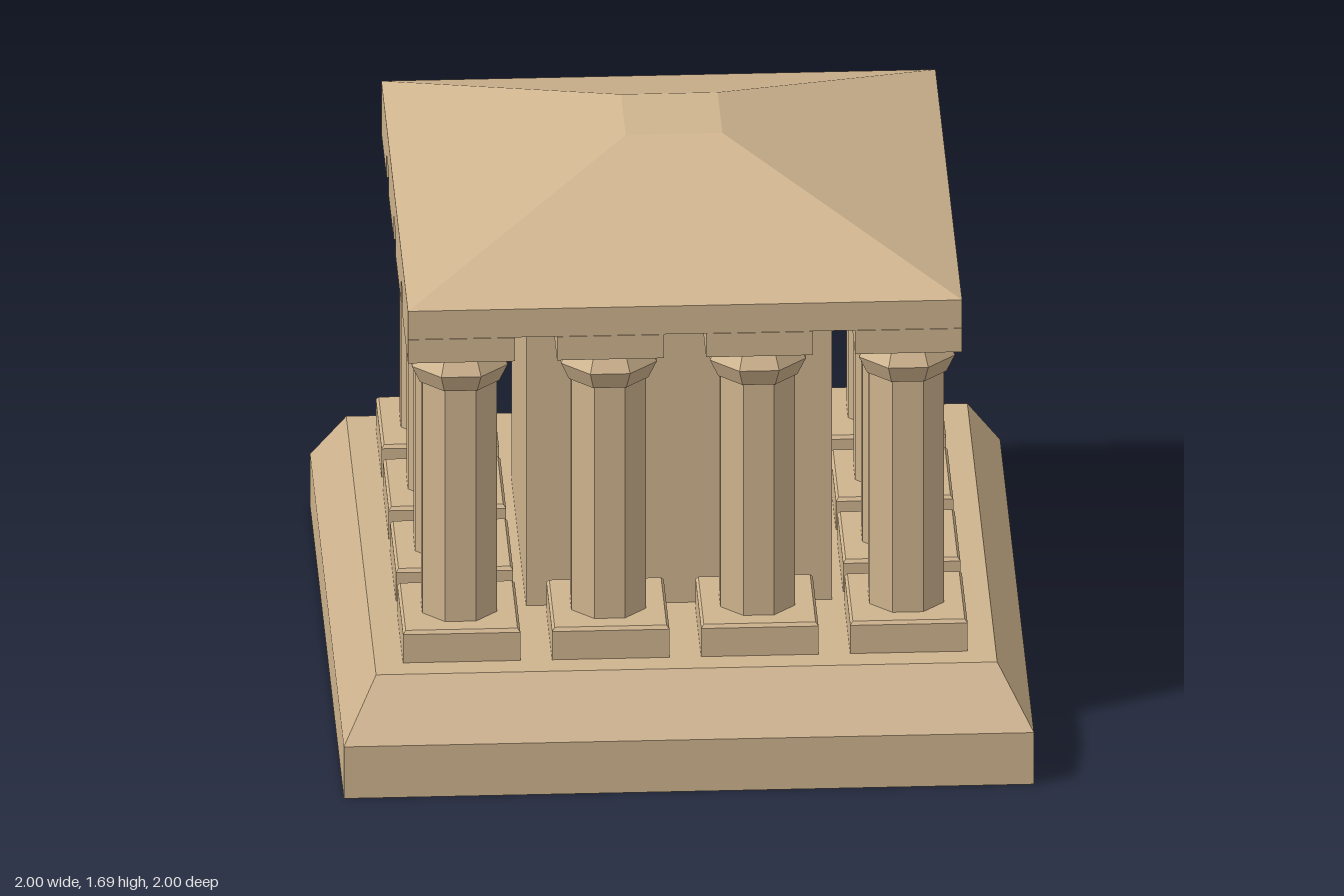
import * as THREE from 'three';

const stone = new THREE.MeshStandardMaterial({ color: 0xcfb48e });
stone.name = 'sandstone';

function add(parent, name, geometry, x = 0, y = 0, z = 0) {
  const mesh = new THREE.Mesh(geometry, stone);
  mesh.name = name;
  mesh.position.set(x, y, z);
  parent.add(mesh);
  return mesh;
}

// Block between y0 and y1 whose top rectangle differs from its bottom one.
// Rectangles are [xMin, xMax, zMin, zMax].
function taperedBlock(bottom, top, y0, y1) {
  const g = new THREE.BoxGeometry(1, 1, 1).toNonIndexed();
  const p = g.attributes.position;
  for (let i = 0; i < p.count; i++) {
    const isTop = p.getY(i) > 0;
    const r = isTop ? top : bottom;
    p.setXYZ(i, p.getX(i) < 0 ? r[0] : r[1], isTop ? y1 : y0, p.getZ(i) < 0 ? r[2] : r[3]);
  }
  g.computeVertexNormals();
  return g;
}

const square = (h) => [-h, h, -h, h];

// Flat-sided octagonal drum with a face turned to the front; sizes are half-widths across flats
function drum(bottom, top, y0, y1, open = false) {
  const k = 1 / Math.cos(Math.PI / 8);
  const g = new THREE.CylinderGeometry(top * k, bottom * k, y1 - y0, 8, 1, open);
  g.rotateY(Math.PI / 8).translate(0, (y0 + y1) / 2, 0);
  const flat = g.toNonIndexed();
  flat.computeVertexNormals();
  return flat;
}

// Geometries shared by every column
const pedestal = taperedBlock(square(0.17), square(0.17), 0.33, 0.42);
const pedestalRim = taperedBlock(square(0.17), square(0.162), 0.42, 0.43);
const shaft = drum(0.108, 0.108, 0.43, 1.17);
const capitalLower = drum(0.115, 0.139, 1.17, 1.225);
const capitalUpper = drum(0.139, 0.108, 1.225, 1.28);
const abacus = taperedBlock(square(0.155), square(0.155), 1.28, 1.355);

function column(x, z) {
  const group = new THREE.Group();
  group.name = 'column';
  add(group, 'pedestal', pedestal);
  add(group, 'pedestalRim', pedestalRim);
  add(group, 'shaft', shaft);
  add(group, 'capitalLower', capitalLower);
  add(group, 'capitalUpper', capitalUpper);
  add(group, 'abacus', abacus);
  group.position.set(x, 0, z);
  return group;
}

export function createModel() {
  const model = new THREE.Group();
  model.name = 'temple';

  // Stepped base with sloped shoulders
  const ground = square(1);
  add(model, 'basePlinth', taperedBlock(ground, ground, 0, 0.165));
  add(model, 'baseSlope', taperedBlock(ground, [-0.9, 0.9, -0.9, 0.865], 0.165, 0.33));

  // Solid inner chamber
  const chamber = [-0.443, 0.443, -0.445, 0.415];
  add(model, 'innerChamber', taperedBlock(chamber, chamber, 0.33, 1.355));

  // Ring of twelve columns, four along each side
  for (let i = 0; i < 4; i++) {
    for (let j = 0; j < 4; j++) {
      const onEdge = i === 0 || i === 3 || j === 0 || j === 3;
      if (onEdge) model.add(column((i - 1.5) * 0.432, (j - 1.5) * 0.423 - 0.017));
    }
  }

  // Roof slab and truncated hip roof
  const eaves = [-0.803, 0.803, -0.803, 0.77];
  add(model, 'roofSlab', taperedBlock(eaves, eaves, 1.355, 1.445));
  add(model, 'hipRoof', taperedBlock(eaves, [-0.14, 0.14, -0.157, 0.12], 1.445, 1.69));

  return model;
}
